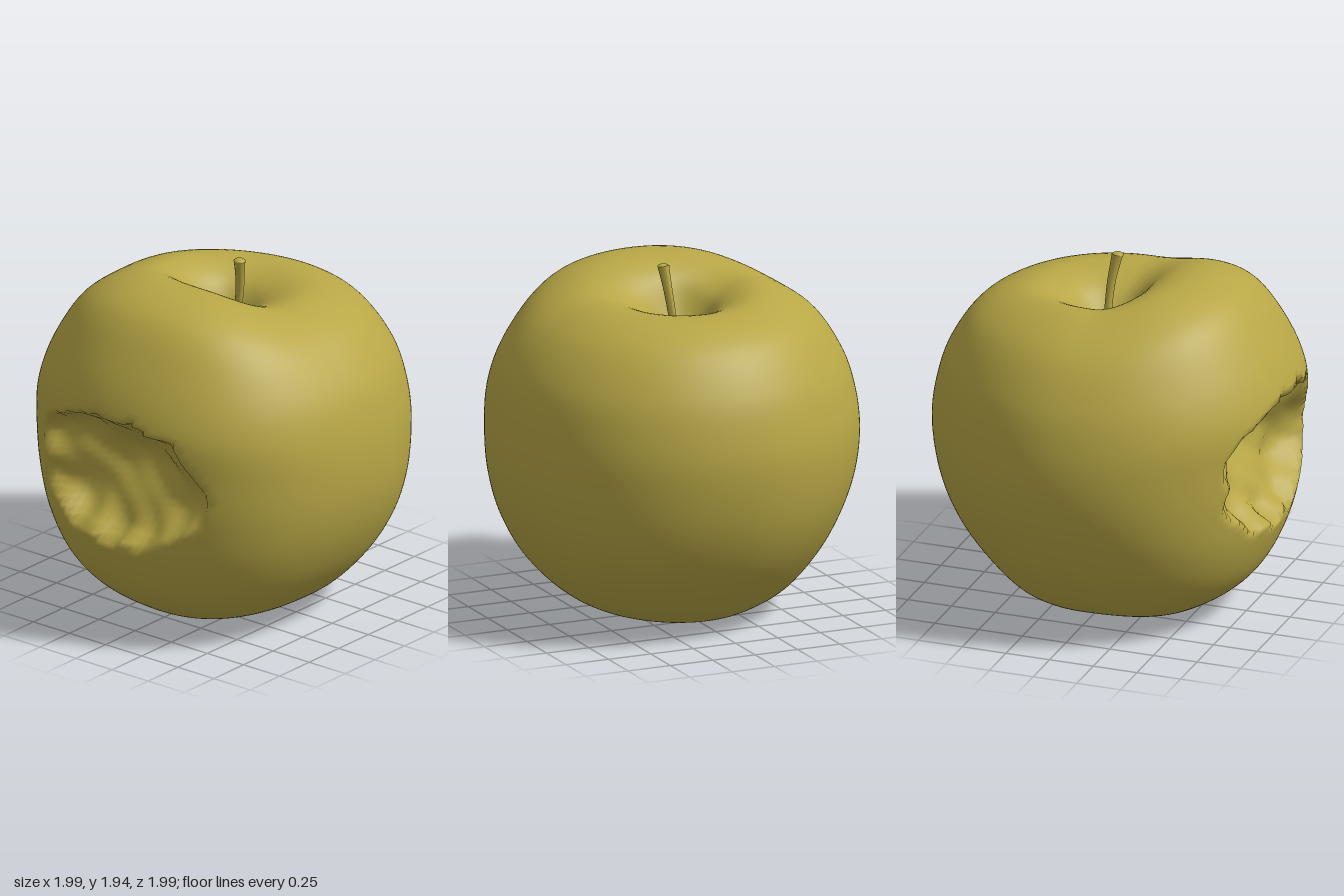
import * as THREE from 'three';

// Half-profiles [radius, height], bottom centre to top centre, for +x, +z, -x, -z
const PROFILES = [
  [[0, .2], [.08, .17], [.17, .07], [.3, .02], [.5, .09], [.67, .24], [.83, .44], [.94, .69], [.99, 1], [.97, 1.2], [.9, 1.42], [.73, 1.65], [.47, 1.75], [.24, 1.69], [.09, 1.53], [0, 1.46]],
  [[0, .2], [.08, .17], [.2, .09], [.36, .05], [.58, .12], [.78, .31], [.91, .53], [.98, .75], [1, .97], [.98, 1.2], [.91, 1.42], [.72, 1.65], [.45, 1.76], [.24, 1.69], [.09, 1.53], [0, 1.46]],
  [[0, .2], [.08, .17], [.2, .07], [.4, .005], [.62, .1], [.8, .25], [.92, .49], [.98, .78], [1, 1.05], [1, 1.31], [.88, 1.59], [.69, 1.82], [.42, 1.89], [.22, 1.81], [.09, 1.56], [0, 1.46]],
  [[0, .2], [.08, .17], [.2, .1], [.38, .055], [.6, .14], [.8, .37], [.91, .6], [.97, .8], [.99, 1], [.97, 1.2], [.9, 1.42], [.72, 1.67], [.43, 1.8], [.21, 1.72], [.09, 1.55], [0, 1.46]],
];

// Uneven growth between those directions: girth, extra girth low down, rim lift
const QUARTERS = [
  { girth: .01, low: .035, lift: 0 },
  { girth: .05, low: .01, lift: .025 },
  { girth: .01, low: .025, lift: .015 },
  { girth: -.017, low: 0, lift: 0 },
];

// Ragged flesh of the bite
const ragged = (y, z) =>
  .022 * Math.sin(14 * y + 5 * z) + .02 * Math.sin(10 * z - 12 * y + 1) + .012 * Math.abs(Math.sin(17 * y + 13 * z));

// Push points inside an ellipsoid at the -x side back to its inner wall
function bite(p) {
  const u = (p.y - .94) / .385 + ragged(p.z * 2, p.y) * 1.3;
  const w = (p.z + .01) / .7 + ragged(p.y * 2, p.z);
  const left = 1 - u * u - w * w;
  if (left <= 0 || p.x > 0) return;
  const wall = -1.12 + .43 * left ** .45 + ragged(p.y, p.z) * Math.min(1, left * 3);
  if (wall > p.x) p.x = wall;
}

function bodyGeometry() {
  const around = 180, rows = 120, pos = [], index = [];
  const curves = PROFILES.map(pts =>
    new THREE.CatmullRomCurve3(pts.map(([r, y]) => new THREE.Vector3(r, y, 0))));
  const p = new THREE.Vector3();
  for (let j = 0; j <= rows; j++) {
    const ring = curves.map(c => c.getPoint(j / rows));
    for (let i = 0; i < around; i++) {
      const a = i / around * Math.PI * 2, q = a / (Math.PI / 2), k = Math.floor(q);
      const blend = Math.sin((q - k) * Math.PI / 2) ** 2;
      const s = ring[k % 4].clone().lerp(ring[(k + 1) % 4], blend);
      const { girth, low, lift } = QUARTERS[k % 4], between = Math.sin(2 * a) ** 2;
      const lowness = 1 - THREE.MathUtils.smoothstep(s.y, .3, 1);
      const r = Math.max(0, s.x) * (1 + between * (girth + low * lowness));
      const rim = THREE.MathUtils.smoothstep(s.y, 1.4, 1.8) * Math.min(1, r / .3);
      // the hollows sit slightly off the axis
      const off = Math.max(0, 1 - r / .5);
      p.set(r * Math.cos(a) + .03 * off, s.y + between * lift * rim, r * Math.sin(a) - .04 * off);
      bite(p);
      pos.push(p.x, p.y, p.z);
      if (j < rows) {
        const n = (i + 1) % around, A = j * around + i, B = j * around + n;
        index.push(A, A + around, B, B, A + around, B + around);
      }
    }
  }
  const g = new THREE.BufferGeometry();
  g.setAttribute('position', new THREE.Float32BufferAttribute(pos, 3));
  g.setIndex(index);
  g.computeVertexNormals();
  return g;
}

// Tube that widens towards its end
function stemGeometry() {
  const path = new THREE.CatmullRomCurve3([[.06, 1.42, .01], [.06, 1.6, .045], [.05, 1.77, .07], [.022, 1.93, .09]]
    .map(v => new THREE.Vector3(...v)));
  const rows = 14, sides = 12, g = new THREE.TubeGeometry(path, rows, 1, sides);
  const pos = g.attributes.position, v = new THREE.Vector3();
  for (let j = 0; j <= rows; j++) {
    const c = path.getPointAt(j / rows), r = .021 + .011 * (j / rows) ** 4;
    for (let i = 0; i <= sides; i++) {
      const n = j * (sides + 1) + i;
      v.fromBufferAttribute(pos, n).sub(c).multiplyScalar(r).add(c);
      pos.setXYZ(n, v.x, v.y, v.z);
    }
  }
  g.computeVertexNormals();
  return g;
}

export function createModel() {
  const model = new THREE.Group();
  model.name = 'bittenApple';
  const skin = new THREE.MeshStandardMaterial({ color: 0xb8a746 });
  skin.name = 'olive yellow';
  const add = (name, geometry, parent = model) => {
    const m = new THREE.Mesh(geometry, skin);
    m.name = name;
    parent.add(m);
    return m;
  };

  add('appleBody', bodyGeometry());
  add('stem', stemGeometry());
  const cap = add('stemTip', new THREE.SphereGeometry(.033, 12, 8));
  cap.scale.y = .45;
  cap.position.set(.022, 1.926, .09);

  // Dried blossom leaves in the bottom hollow
  const calyx = new THREE.Group();
  calyx.name = 'calyx';
  calyx.position.set(.03, .2, -.04);
  for (let i = 0; i < 5; i++) {
    const a = i / 5 * Math.PI * 2;
    const leaf = add('calyxLeaf', new THREE.ConeGeometry(.025, .13, 6), calyx);
    leaf.position.set(.04 * Math.cos(a), -.05, .04 * Math.sin(a));
    leaf.rotation.set(Math.PI - .35 * Math.sin(a), 0, .35 * Math.cos(a));
  }
  model.add(calyx);
  return model;
}
